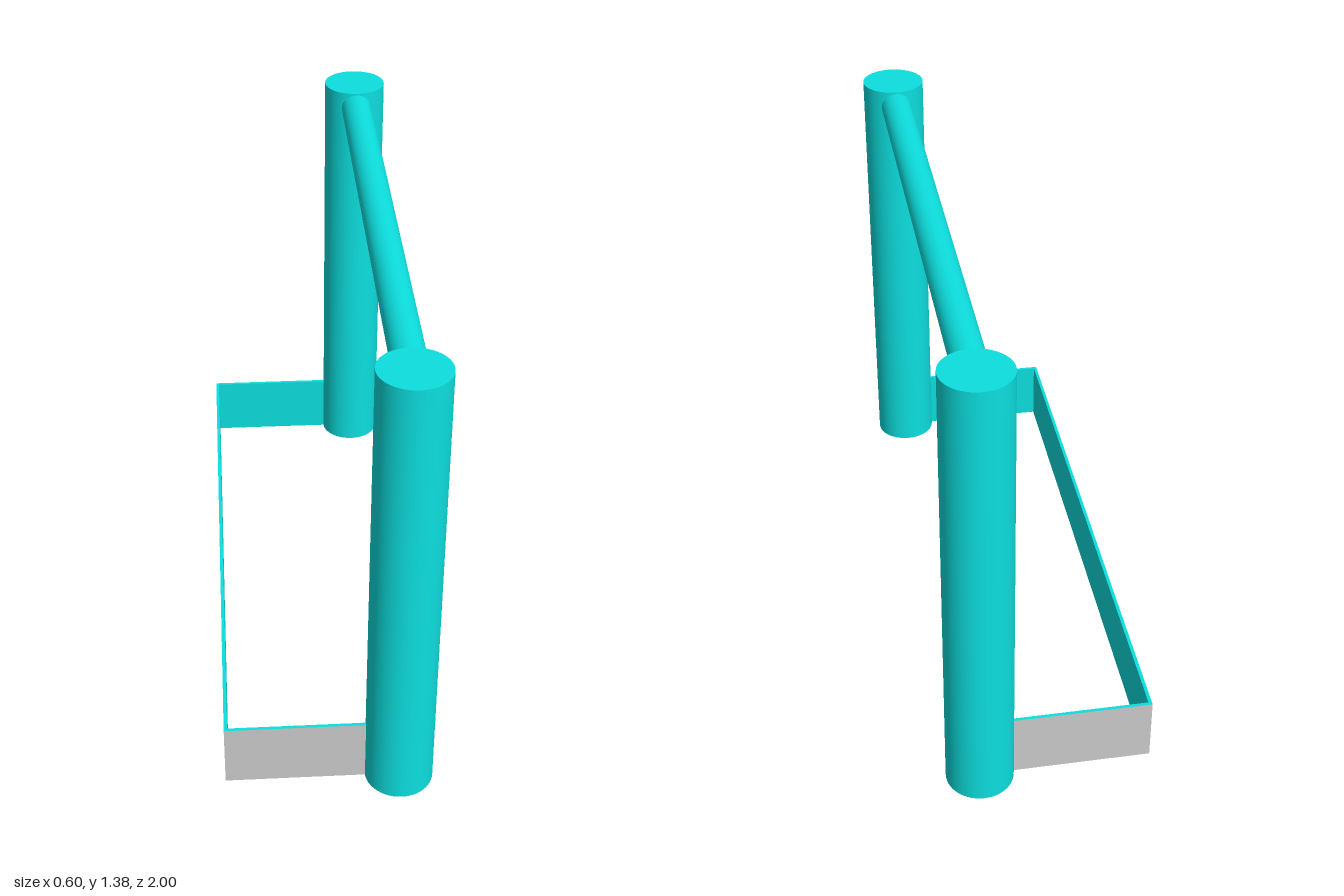
import * as THREE from 'three';

const POST_R = 0.0985, POST_H = 1.384, POST_X = 0.2015, POST_Z = 0.9015;
const WALL_H = 0.197, WALL_T = 0.01, BACK_X = -0.3, SIDE_Z = 0.908;

export function createModel() {
  const group = new THREE.Group();
  const cyan = new THREE.MeshStandardMaterial({ color: 0x0ddfdf });
  const grey = new THREE.MeshStandardMaterial({ color: 0xcccccc });

  const add = (name, geometry, material, x, y, z) => {
    const mesh = new THREE.Mesh(geometry, material);
    mesh.name = name;
    mesh.position.set(x, y, z);
    group.add(mesh);
    return mesh;
  };
  // Box face order: +x, -x, +y, -y, +z, -z; the listed faces are grey
  const faces = (...greyFaces) =>
    [0, 1, 2, 3, 4, 5].map((i) => (greyFaces.includes(i) ? grey : cyan));

  // Upright posts and the low side walls running back from them
  const sideLength = POST_X - BACK_X;
  for (const s of [1, -1]) {
    const end = s > 0 ? 'front' : 'rear';
    add(end + 'Post', new THREE.CylinderGeometry(POST_R, POST_R, POST_H, 48), cyan,
      POST_X, POST_H / 2, s * POST_Z);
    add(end + 'SideWall', new THREE.BoxGeometry(sideLength, WALL_H, WALL_T), faces(1, s > 0 ? 4 : 5),
      BACK_X + sideLength / 2, WALL_H / 2, s * (SIDE_Z - WALL_T / 2));
  }

  // Long back wall, grey on its outer face
  add('backWall', new THREE.BoxGeometry(WALL_T, WALL_H, 2 * (SIDE_Z - WALL_T)), faces(1),
    BACK_X + WALL_T / 2, WALL_H / 2, 0);

  // Crossbar between the post tops
  add('crossbar', new THREE.CylinderGeometry(0.0485, 0.0485, 2 * POST_Z, 32), cyan,
    POST_X, 1.33, 0).rotation.x = Math.PI / 2;

  return group;
}
